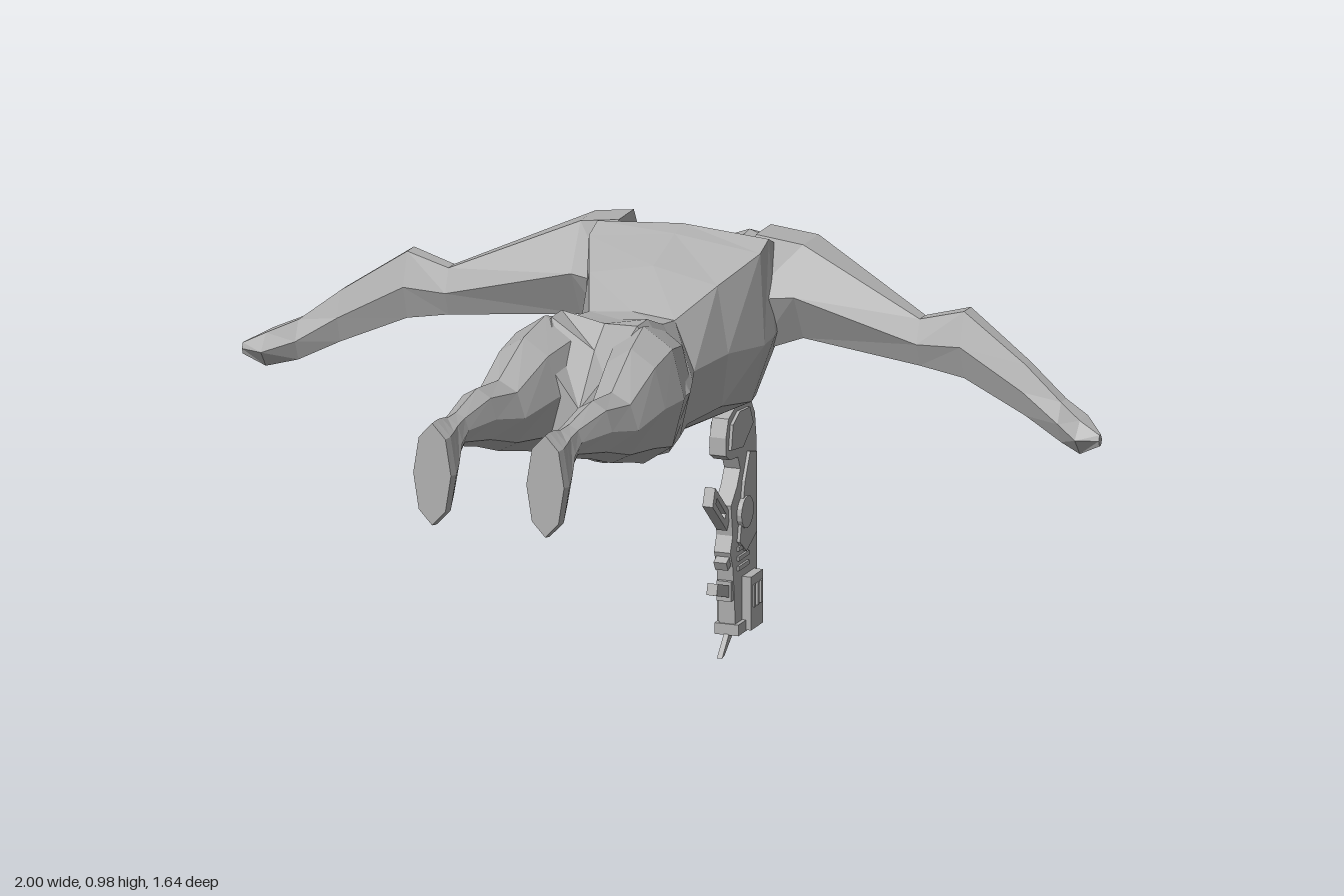
import * as THREE from 'three';

const grey = new THREE.MeshStandardMaterial({ color: 0xb0b0b0, flatShading: true });
grey.name = 'plain grey';

// Skin rings of equal length into a closed, faceted solid facing outwards
function loft(rings) {
  const tris = [], n = rings[0].length;
  for (let i = 0; i < rings.length - 1; i++) {
    for (let j = 0; j < n; j++) {
      const k = (j + 1) % n, a = rings[i], b = rings[i + 1];
      tris.push([a[j], a[k], b[k]], [a[j], b[k], b[j]]);
    }
  }
  const first = rings[0], last = rings[rings.length - 1];
  for (let j = 1; j < n - 1; j++) {
    tris.push([first[0], first[j + 1], first[j]], [last[0], last[j], last[j + 1]]);
  }
  let volume = 0;
  for (const [a, b, c] of tris) {
    volume += a[0] * (b[1] * c[2] - b[2] * c[1]) + a[1] * (b[2] * c[0] - b[0] * c[2]) + a[2] * (b[0] * c[1] - b[1] * c[0]);
  }
  const ordered = volume < 0 ? tris.map(([a, b, c]) => [a, c, b]) : tris;
  const geometry = new THREE.BufferGeometry();
  geometry.setAttribute('position', new THREE.Float32BufferAttribute(ordered.flat(2), 3));
  geometry.computeVertexNormals();
  return geometry;
}

// Elliptical ring across z
function oval([z, cx, cy, rx, ry], sides = 8) {
  return Array.from({ length: sides }, (_, i) => {
    const a = (i / sides) * Math.PI * 2;
    return [cx + Math.sin(a) * rx, cy + Math.cos(a) * ry, z];
  });
}

function add(parent, name, geometry) {
  const mesh = new THREE.Mesh(geometry, grey);
  mesh.name = name;
  parent.add(mesh);
  return mesh;
}

// Torso: z, spine y, back edge x y, flank x y, belly edge x y, belly y
function torso() {
  const rows = [
    [-0.62, 0.82, 0.05, 0.81, 0.08, 0.76, 0.05, 0.70, 0.68],
    [-0.54, 0.87, 0.11, 0.86, 0.13, 0.78, 0.08, 0.69, 0.67],
    [-0.42, 0.935, 0.20, 0.915, 0.20, 0.76, 0.13, 0.62, 0.56],
    [-0.32, 0.98, 0.20, 0.965, 0.215, 0.75, 0.17, 0.61, 0.53],
    [-0.27, 0.97, 0.20, 0.945, 0.21, 0.74, 0.18, 0.61, 0.52],
    [-0.145, 0.93, 0.15, 0.90, 0.175, 0.75, 0.16, 0.63, 0.535],
    [-0.02, 0.86, 0.10, 0.85, 0.145, 0.74, 0.13, 0.62, 0.55],
    [0.05, 0.86, 0.10, 0.86, 0.17, 0.74, 0.14, 0.61, 0.56],
    [0.14, 0.875, 0.10, 0.895, 0.20, 0.74, 0.15, 0.60, 0.56],
    [0.20, 0.83, 0.10, 0.895, 0.20, 0.74, 0.15, 0.61, 0.58],
    [0.29, 0.72, 0.06, 0.80, 0.10, 0.72, 0.06, 0.65, 0.64],
  ];
  return loft(rows.map(([z, top, xs, ys, xm, ym, xl, yl, bottom]) => [
    [0, top, z], [xs, ys, z], [xm, ym, z], [xl, yl, z],
    [0, bottom, z], [-xl, yl, z], [-xm, ym, z], [-xs, ys, z],
  ]));
}

// Arm rows: x, top y, bottom y, z towards head, z towards feet
function arm(side) {
  const rows = [
    [0.16, 0.965, 0.70, -0.51, -0.29], [0.26, 0.945, 0.735, -0.54, -0.315],
    [0.55, 0.82, 0.715, -0.39, -0.305], [0.65, 0.845, 0.695, -0.41, -0.31],
    [0.80, 0.745, 0.63, -0.375, -0.30], [0.89, 0.675, 0.585, -0.36, -0.28],
    [0.95, 0.65, 0.575, -0.35, -0.23], [1.0, 0.625, 0.60, -0.265, -0.245],
  ];
  return loft(rows.map(([x, top, bottom, z0, z1]) => {
    const m = (top + bottom) / 2, at = (t) => z0 + (z1 - z0) * t;
    return [[z0, m], [at(0.3), bottom], [at(0.75), bottom], [z1, m], [at(0.75), top], [at(0.35), top]]
      .map(([z, y]) => [side * x, y, z]);
  }));
}

// Leg and foot rows: z, centre x, centre y, half width, half height
function leg(side) {
  const rows = [
    [0.06, 0.10, 0.735, 0.07, 0.12], [0.20, 0.115, 0.742, 0.095, 0.155],
    [0.30, 0.125, 0.745, 0.08, 0.128], [0.43, 0.132, 0.73, 0.062, 0.08],
    [0.55, 0.135, 0.757, 0.046, 0.066], [0.68, 0.132, 0.765, 0.03, 0.038],
    [0.73, 0.132, 0.752, 0.035, 0.052], [0.765, 0.132, 0.715, 0.042, 0.098],
    [0.795, 0.132, 0.698, 0.047, 0.118], [0.82, 0.132, 0.70, 0.044, 0.115],
  ];
  return loft(rows.map(([z, cx, ...rest]) => oval([z, side * cx, ...rest])));
}

function head() {
  const rows = [
    [-0.55, 0, 0.745, 0.06, 0.065], [-0.60, 0, 0.742, 0.078, 0.085],
    [-0.66, 0, 0.74, 0.10, 0.12], [-0.71, 0, 0.745, 0.102, 0.12],
    [-0.765, 0, 0.745, 0.095, 0.10], [-0.80, 0, 0.755, 0.07, 0.065],
    [-0.82, 0, 0.76, 0.04, 0.03],
  ];
  return loft(rows.map((row) => oval(row, 10)));
}

// Ear rows: z, inner x, outer x, low y, high y
function ear(side) {
  const rows = [
    [-0.625, 0.085, 0.10, 0.72, 0.74], [-0.69, 0.08, 0.14, 0.73, 0.78],
    [-0.745, 0.09, 0.146, 0.75, 0.80], [-0.76, 0.10, 0.12, 0.76, 0.79],
  ];
  return loft(rows.map(([z, a, b, low, high]) => [
    [side * a, low, z], [side * b, low + 0.01, z], [side * b, high, z], [side * a, high, z],
  ]));
}

// Plate cut in the side plane; points are distance towards the head and height
function plate(points, width, hole) {
  const toVectors = (list) => list.map(([u, y]) => new THREE.Vector2(u, y));
  const shape = new THREE.Shape(toVectors(points));
  if (hole) shape.holes.push(new THREE.Path(toVectors(hole)));
  const geometry = new THREE.ExtrudeGeometry(shape, { depth: width, bevelEnabled: false });
  return geometry.translate(0, 0, -width / 2).rotateY(Math.PI / 2);
}

function device() {
  const group = new THREE.Group();
  group.name = 'device';
  group.position.x = 0.075;
  const block = (name, u, y, length, height, width, tilt = 0) => {
    const mesh = add(group, name, new THREE.BoxGeometry(width, height, length));
    mesh.position.set(0, y, -u);
    mesh.rotation.x = tilt;
    return mesh;
  };
  add(group, 'deviceBody', plate([
    [0.335, 0.46], [0.36, 0.445], [0.405, 0.44], [0.42, 0.41], [0.40, 0.375], [0.365, 0.34],
    [0.375, 0.27], [0.36, 0.235], [0.375, 0.20], [0.385, 0.13], [0.39, 0.045], [0.52, 0.045],
    [0.515, 0.45], [0.505, 0.515], [0.475, 0.56], [0.40, 0.56], [0.35, 0.54], [0.335, 0.50],
  ], 0.038));
  add(group, 'topHousing', plate([
    [0.35, 0.47], [0.42, 0.46], [0.48, 0.50], [0.46, 0.54], [0.40, 0.545], [0.36, 0.525],
  ], 0.052));
  add(group, 'sidePanel', plate([
    [0.40, 0.25], [0.44, 0.22], [0.50, 0.25], [0.50, 0.43], [0.46, 0.44], [0.43, 0.38],
  ], 0.052));
  add(group, 'guard', plate(
    [[0.275, 0.36], [0.36, 0.285], [0.38, 0.32], [0.33, 0.365], [0.29, 0.40]], 0.024,
    [[0.295, 0.362], [0.345, 0.315], [0.353, 0.325], [0.30, 0.375]]));
  const disc = add(group, 'pivotDisc', new THREE.CylinderGeometry(0.036, 0.036, 0.06, 16));
  disc.rotation.z = Math.PI / 2;
  disc.position.set(0, 0.31, -0.435);
  block('lowerHousing', 0.465, 0.105, 0.07, 0.12, 0.08);
  block('baseBand', 0.455, 0.055, 0.14, 0.025, 0.056);
  block('rearRail', 0.517, 0.30, 0.02, 0.15, 0.022);
  block('lowerRail', 0.52, 0.13, 0.018, 0.10, 0.022);
  block('baseFin', 0.535, 0.057, 0.055, 0.008, 0.012);
  block('frontGrip', 0.34, 0.155, 0.08, 0.026, 0.024, -0.3);
  block('frontGripMount', 0.385, 0.145, 0.03, 0.045, 0.034);
  block('trigger', 0.37, 0.215, 0.04, 0.022, 0.03, 0.5);
  for (let i = 0; i < 3; i++) {
    block('vent', 0.445 + i * 0.02, 0.12, 0.01, 0.05, 0.088);
    block('bodyRib', 0.43, 0.19 + i * 0.022, 0.06, 0.01, 0.048);
  }
  add(group, 'spike', plate([[0.345, 0], [0.36, 0.004], [0.415, 0.045], [0.39, 0.05]], 0.012));
  return group;
}

export function createModel() {
  const model = new THREE.Group();
  model.name = 'flyingFigure';
  add(model, 'torso', torso());
  add(model, 'head', head());
  for (const [label, side] of [['left', 1], ['right', -1]]) {
    add(model, label + 'Arm', arm(side));
    add(model, label + 'Leg', leg(side));
    add(model, label + 'Ear', ear(side));
  }
  model.add(device());
  return model;
}
